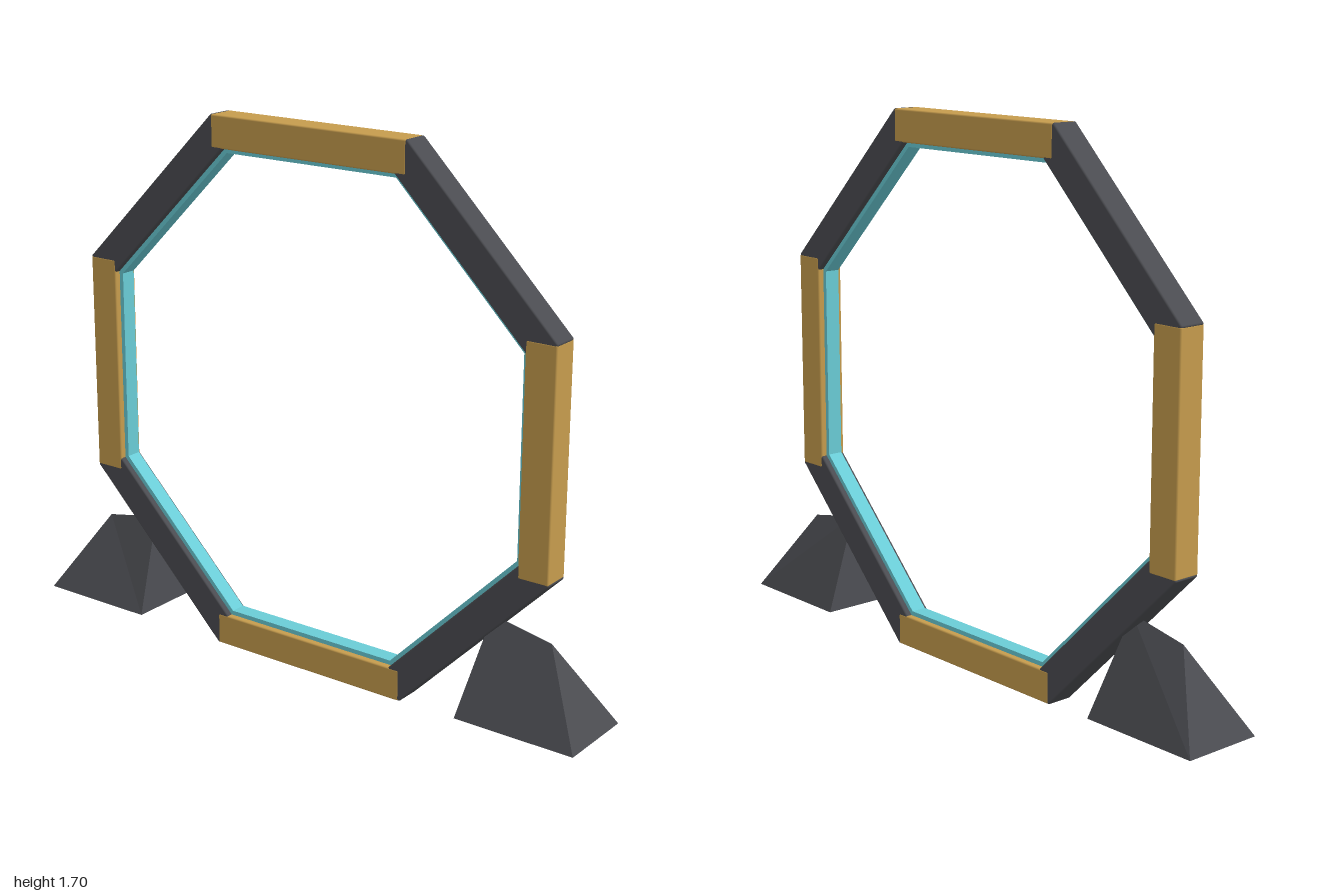
import * as THREE from 'three';
import { RoundedBoxGeometry } from 'three/addons/geometries/RoundedBoxGeometry.js';

const CENTER_Y = 0.855;
const mat = (color) => new THREE.MeshStandardMaterial({ color });

// Regular octagon with flat sides on the axes, given its apothem
function octagon(PathType, apothem) {
  const r = apothem / Math.cos(Math.PI / 8);
  const points = [];
  for (let i = 0; i < 8; i++) {
    const a = (i + 0.5) * Math.PI / 4;
    points.push(new THREE.Vector2(r * Math.cos(a), r * Math.sin(a)));
  }
  return new PathType(points);
}

// Wedge foot: rectangular base rising to a sloping ridge
function footGeometry(side) {
  const p = [
    [0.605, 0.06, 0.13], [1, 0.06, 0.13], [1, 0.06, -0.13], [0.605, 0.06, -0.13],
    [0.647, 0.353, 0], [0.845, 0.315, 0],
  ];
  const faces = [0, 1, 5, 0, 5, 4, 2, 3, 4, 2, 4, 5, 1, 2, 5, 3, 0, 4, 0, 3, 2, 0, 2, 1];
  if (side < 0) faces.reverse();
  const geo = new THREE.BufferGeometry();
  geo.setAttribute('position', new THREE.Float32BufferAttribute(
    p.flatMap(([x, y, z]) => [x * side, y, z]), 3));
  geo.setIndex(faces);
  const flat = geo.toNonIndexed();
  flat.computeVertexNormals();
  return flat;
}

export function createModel() {
  const model = new THREE.Group();
  model.name = 'octagonalRing';
  const gold = mat(0xc69c4d);
  const dark = mat(0x4b4c51);
  const cyan = mat(0x6accd6);

  // Eight bars, alternating gold and dark
  const goldBar = new RoundedBoxGeometry(0.1, 0.7, 0.09, 1, 0.005);
  const darkBar = new RoundedBoxGeometry(0.1, 0.712, 0.088, 1, 0.005);
  for (let i = 0; i < 8; i++) {
    const a = i * Math.PI / 4;
    const isGold = i % 2 === 0;
    const bar = new THREE.Mesh(isGold ? goldBar : darkBar, isGold ? gold : dark);
    bar.name = (isGold ? 'goldBar' : 'darkBar') + (Math.floor(i / 2) + 1);
    bar.position.set(0.801 * Math.cos(a), CENTER_Y + 0.801 * Math.sin(a), 0);
    bar.rotation.z = a;
    model.add(bar);
  }

  // Thin glowing strip lining the inside of the ring
  const ring = octagon(THREE.Shape, 0.756);
  ring.holes.push(octagon(THREE.Path, 0.737));
  const strip = new THREE.Mesh(
    new THREE.ExtrudeGeometry(ring, { depth: 0.05, bevelEnabled: false }), cyan);
  strip.name = 'innerStrip';
  strip.position.set(0, CENTER_Y, -0.025);
  model.add(strip);

  // Wedge feet under the lower diagonal bars
  for (const side of [1, -1]) {
    const foot = new THREE.Mesh(footGeometry(side), dark);
    foot.name = side > 0 ? 'leftFoot' : 'rightFoot';
    model.add(foot);
  }
  return model;
}
